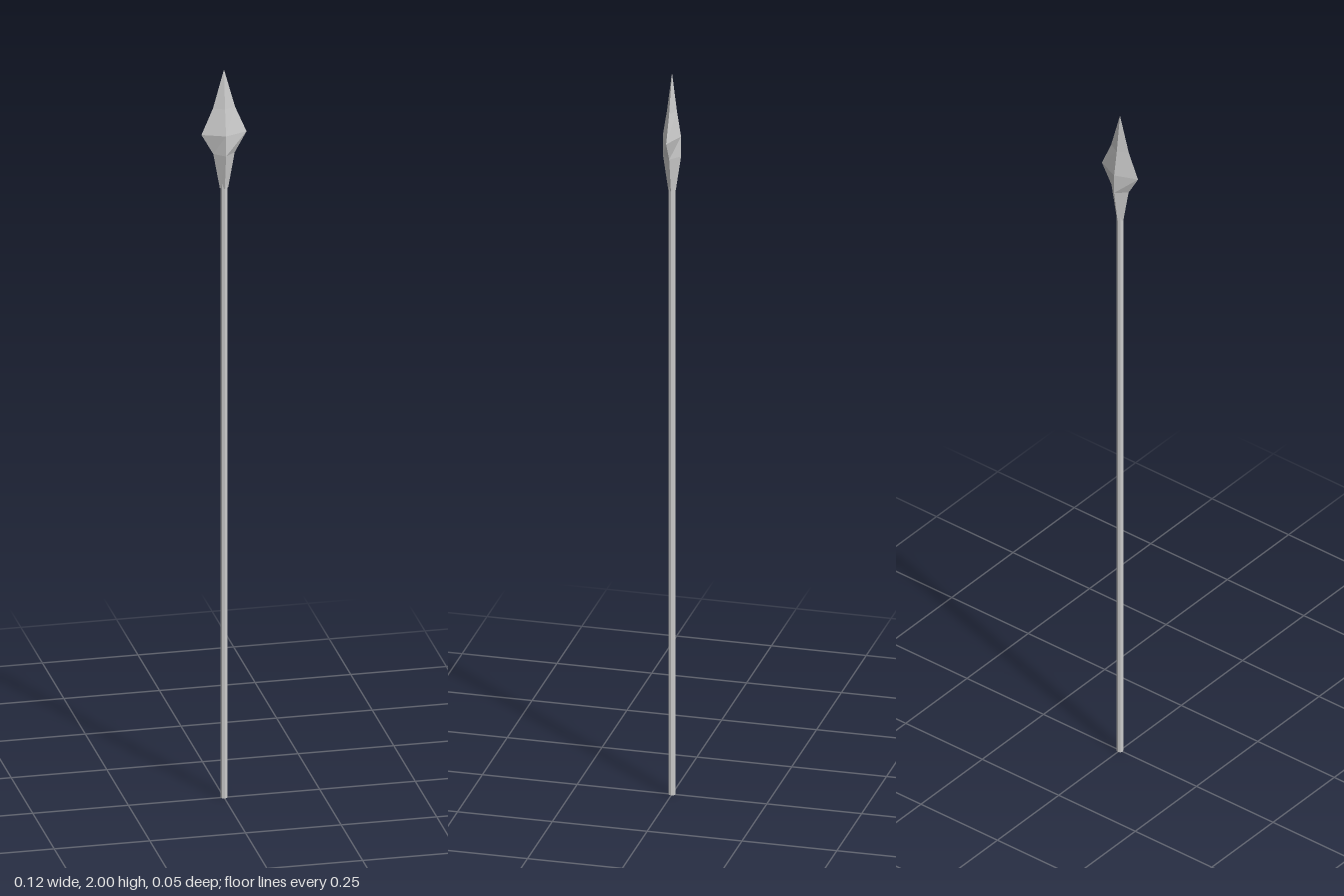
import * as THREE from 'three';

const material = new THREE.MeshStandardMaterial({ color: 0xcccccc, flatShading: true });

// Diamond cross-sections [y, half width, half depth], from socket to just below the point
const SECTIONS = [
  [1.675, 0.011, 0.010],
  [1.77, 0.028, 0.024],
  [1.825, 0.059, 0.024],
  [1.895, 0.029, 0.013],
];
const TIP_Y = 2;

function bladeGeometry() {
  const positions = [];
  const index = [];
  for (const [y, w, d] of SECTIONS) positions.push(0, y, d, w, y, 0, 0, y, -d, -w, y, 0);
  const tip = SECTIONS.length * 4;
  positions.push(0, TIP_Y, 0);
  for (let k = 0; k < 4; k++) {
    const n = (k + 1) % 4;
    for (let s = 0; s < SECTIONS.length - 1; s++) {
      const a = s * 4 + k, b = s * 4 + n;
      index.push(a, b, b + 4, a, b + 4, a + 4);
    }
    index.push(tip - 4 + k, tip - 4 + n, tip);
  }
  index.push(0, 2, 1, 0, 3, 2); // closed socket end
  const geometry = new THREE.BufferGeometry();
  geometry.setAttribute('position', new THREE.Float32BufferAttribute(positions, 3));
  geometry.setIndex(index);
  geometry.computeVertexNormals();
  return geometry;
}

export function createModel() {
  const group = new THREE.Group();
  group.name = 'spear';

  // Long faceted pole
  const shaftHeight = 1.72;
  const shaft = new THREE.Mesh(new THREE.CylinderGeometry(0.009, 0.009, shaftHeight, 8), material);
  shaft.position.y = shaftHeight / 2;
  shaft.name = 'shaft';

  // Four-sided pointed head
  const spearhead = new THREE.Mesh(bladeGeometry(), material);
  spearhead.name = 'spearhead';

  group.add(shaft, spearhead);
  return group;
}
